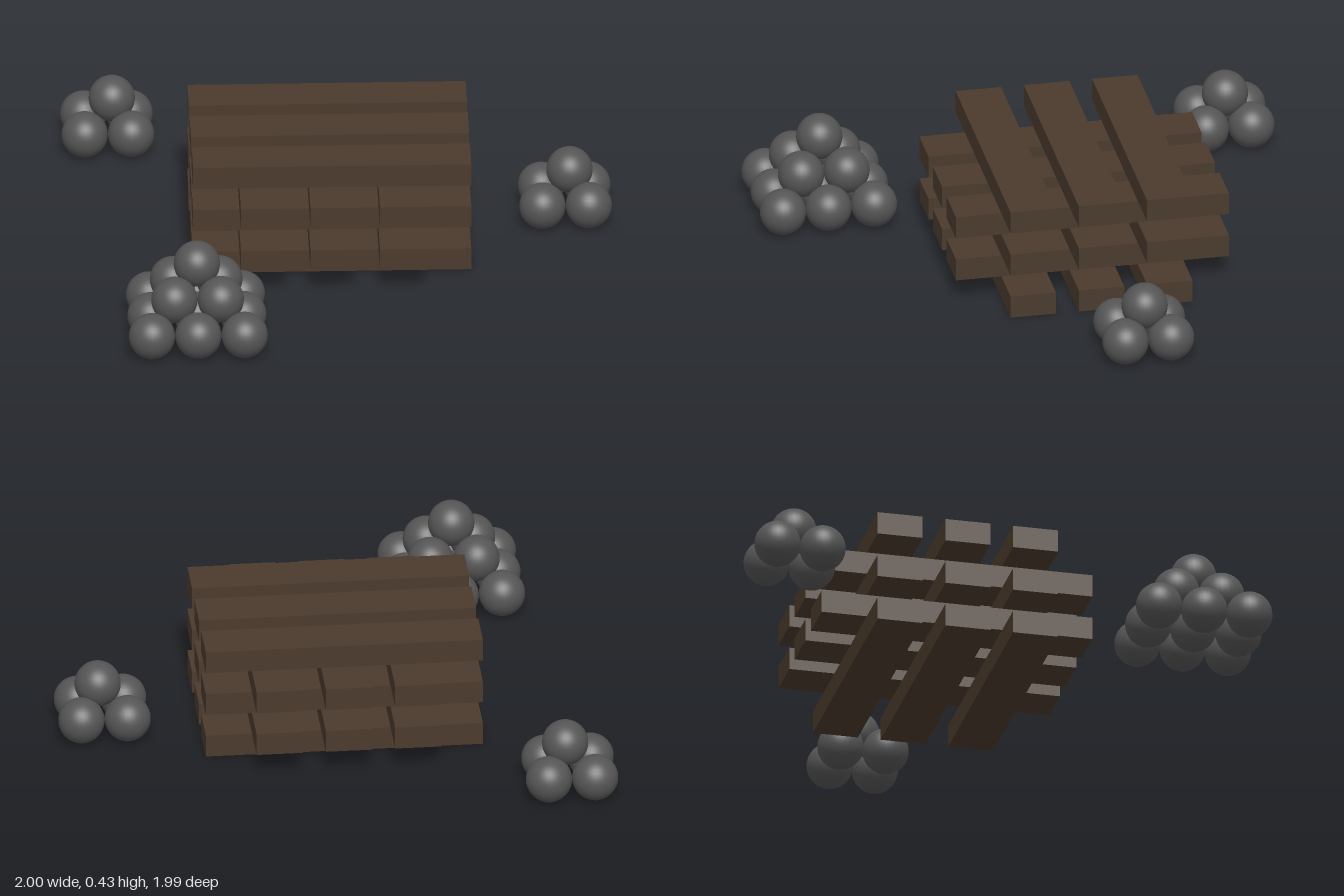
import * as THREE from 'three';

const R = 0.085;        // ball radius
const STEP = 0.105;     // height between ball layers
const PLANK = { length: 1.02, height: 0.086, width: 0.17, pitch: 0.255 };

// Crossed layers of three planks each
function makePlankStack(material) {
  const stack = new THREE.Group();
  stack.name = 'plankStack';
  const geometry = new THREE.BoxGeometry(PLANK.length, PLANK.height, PLANK.width);
  for (let layer = 0; layer < 5; layer++) {
    const alongZ = layer % 2 === 1;
    for (let i = -1; i <= 1; i++) {
      const plank = new THREE.Mesh(geometry, material);
      plank.name = alongZ ? 'crossPlank' : 'longPlank';
      const y = (layer + 0.5) * PLANK.height;
      if (alongZ) {
        plank.rotation.y = Math.PI / 2;
        plank.position.set(i * PLANK.pitch, y, 0);
      } else {
        plank.position.set(0, y, i * PLANK.pitch);
      }
      stack.add(plank);
    }
  }
  return stack;
}

// Square pyramid of balls; the top ball may sit slightly off centre
function makeBallPile(name, size, geometry, material, topShift = 0) {
  const pile = new THREE.Group();
  pile.name = name;
  for (let layer = 0; layer < size; layer++) {
    const n = size - layer;
    const shift = n === 1 ? topShift : 0;
    for (let i = 0; i < n; i++) {
      for (let j = 0; j < n; j++) {
        const ball = new THREE.Mesh(geometry, material);
        ball.name = 'ball';
        ball.position.set((2 * i - n + 1) * R + shift, R + layer * STEP, (2 * j - n + 1) * R);
        pile.add(ball);
      }
    }
  }
  return pile;
}

export function createModel() {
  const model = new THREE.Group();
  model.name = 'planksAndBalls';
  const wood = new THREE.MeshStandardMaterial({ color: 0x4a3a2c });
  const iron = new THREE.MeshStandardMaterial({ color: 0x555555 });

  const planks = makePlankStack(wood);
  planks.position.set(-0.038, 0, -0.11);
  model.add(planks);

  const sphere = new THREE.SphereGeometry(R, 32, 20);
  const large = makeBallPile('largeBallPile', 3, sphere, iron);
  large.position.set(-0.55, 0, 0.739);
  const back = makeBallPile('backBallPile', 2, sphere, iron, 0.017);
  back.position.set(-0.83, 0, -0.83);
  const side = makeBallPile('sideBallPile', 2, sphere, iron, 0.017);
  side.position.set(0.828, 0, -0.196);
  model.add(large, back, side);

  return model;
}
